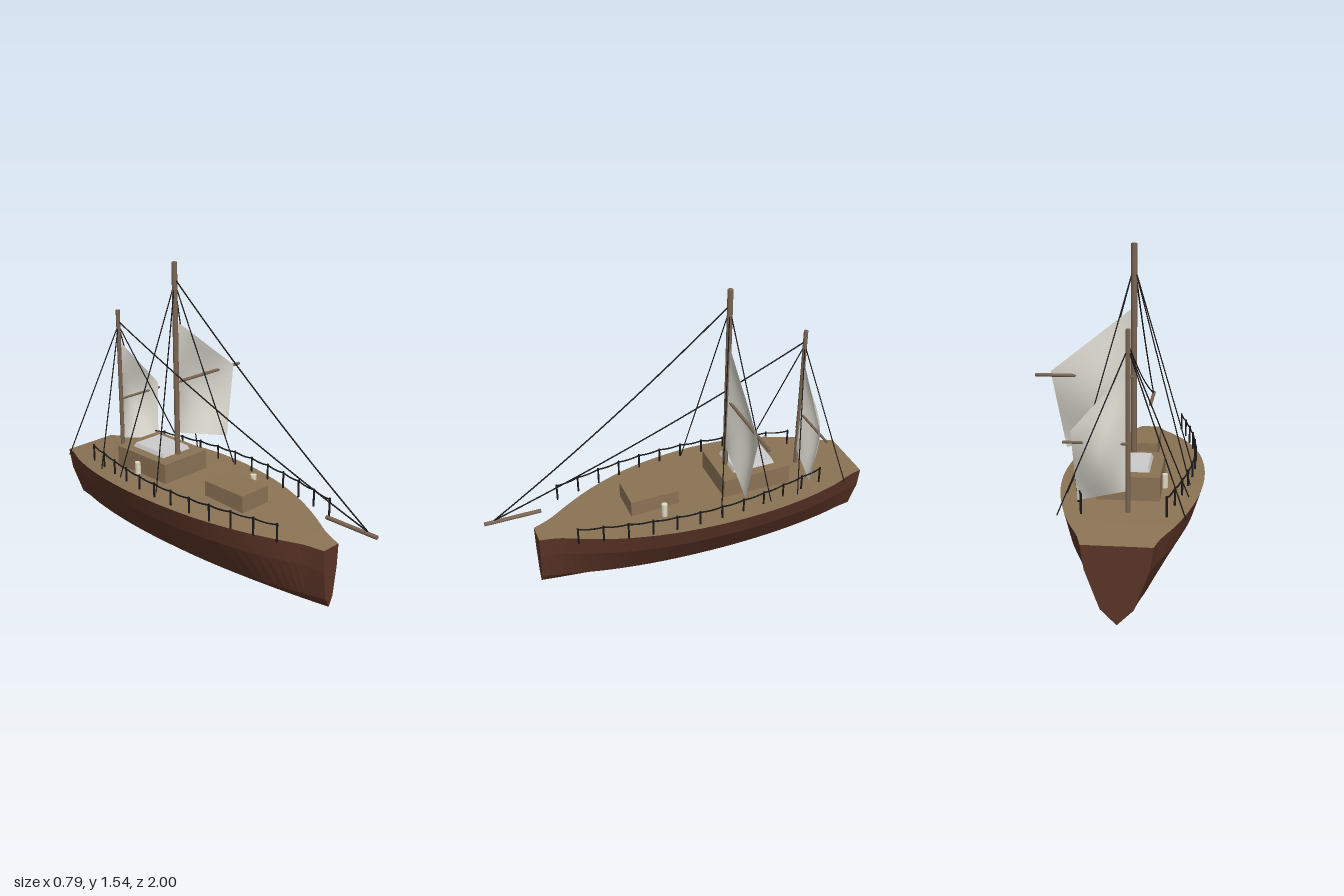
import * as THREE from 'three';

const CX = -0.065; // centreline of the boat
const V = (x, y, z) => new THREE.Vector3(x, y, z);
const mat = (color, opts = {}) => new THREE.MeshStandardMaterial({ color, ...opts });

const hullMat = mat(0x5b3426, { flatShading: true });
const deckMat = mat(0x8b7355, { flatShading: true });
const sparMat = mat(0x7a6552);
const ropeMat = mat(0x1a1a1a);
const sailMat = mat(0xd8d6cc, { side: THREE.DoubleSide });
const hatchMat = mat(0xcccccc, { flatShading: true });
const creamMat = mat(0xe0d8c0);

function add(parent, name, geometry, material) {
  const mesh = new THREE.Mesh(geometry, material);
  mesh.name = name;
  parent.add(mesh);
  return mesh;
}

// Round bar between two points
function bar(parent, name, a, b, r, material, sides = 12) {
  const mesh = add(parent, name, new THREE.CylinderGeometry(r, r, a.distanceTo(b), sides), material);
  mesh.position.copy(a).lerp(b, 0.5);
  mesh.quaternion.setFromUnitVectors(V(0, 1, 0), b.clone().sub(a).normalize());
}

// Rope sagging in its middle
function rope(parent, name, a, b, sag = 0, r = 0.003) {
  const mid = a.clone().lerp(b, 0.5);
  mid.y -= 2 * sag;
  const curve = new THREE.QuadraticBezierCurve3(a, mid, b);
  add(parent, name, new THREE.TubeGeometry(curve, sag ? 12 : 1, r, 6), ropeMat);
}

function box(parent, name, x0, x1, y0, y1, z0, z1, material) {
  const mesh = add(parent, name, new THREE.BoxGeometry(x1 - x0, y1 - y0, z1 - z0), material);
  mesh.position.set((x0 + x1) / 2, (y0 + y1) / 2, (z0 + z1) / 2);
  return mesh;
}

function meshGeometry(points, index) {
  const g = new THREE.BufferGeometry();
  g.setAttribute('position', new THREE.Float32BufferAttribute(points.flatMap(p => [p.x, p.y, p.z]), 3));
  g.setIndex(index);
  g.computeVertexNormals();
  return g;
}

// Hull lofted from seven-point sections, stern to bow
function buildHull(parent) {
  // z, half beam, deck height, keel height
  const stations = new THREE.CatmullRomCurve3([], false, 'centripetal');
  const beam = [[-1, 0.15], [-0.93, 0.172], [-0.8, 0.232], [-0.6, 0.293], [-0.4, 0.326], [-0.2, 0.334], [0, 0.32],
    [0.2, 0.284], [0.4, 0.218], [0.55, 0.145], [0.65, 0.088], [0.7, 0.068], [0.755, 0.052]];
  stations.points = beam.map(([z, w]) => V(w, 0, z));
  const N = 36, W = 7, pts = [], hull = [], deck = [];
  for (let i = 0; i <= N; i++) {
    const { x: w, z } = stations.getPoint(i / N);
    const t = z < -0.27 ? (z + 0.27) / 0.73 : (z + 0.27) / 1.025;
    const bow = z > -0.27;
    const top = 0.452 - (bow ? 0.052 : 0.042) * t * t;
    const keel = 0.005 + (bow ? 0.085 : 0.055) * Math.pow(Math.abs(t), 1.6);
    const chine = Math.max(0.13, keel + 0.05);
    const half = [[w, top], [w * 0.89, top - 0.11], [w * 0.47, chine]];
    half.forEach(([x, y]) => pts.push(V(CX + x, y, z)));
    pts.push(V(CX, keel, z));
    half.reverse().forEach(([x, y]) => pts.push(V(CX - x, y, z)));
  }
  for (let i = 0; i < N; i++) {
    const a = i * W, c = a + W;
    for (let j = 0; j < W - 1; j++) hull.push(a + j, c + j, a + j + 1, a + j + 1, c + j, c + j + 1);
    deck.push(a, a + W - 1, c, a + W - 1, c + W - 1, c);
  }
  // transom and stem
  const e = N * W;
  for (let j = 1; j < W - 1; j++) hull.push(0, j, j + 1, e, e + j + 1, e + j);
  add(parent, 'hull', meshGeometry(pts, hull), hullMat);
  add(parent, 'deck', meshGeometry(pts, deck), deckMat);
}

// Four-cornered sail bellied towards the stern
function sail(parent, name, [a, b, c, d], belly) {
  const n = 16, pts = [], index = [];
  for (let i = 0; i <= n; i++) for (let j = 0; j <= n; j++) {
    const u = j / n, v = i / n;
    const p = a.clone().lerp(b, u).lerp(d.clone().lerp(c, u), v);
    p.z -= belly * Math.sin(Math.PI * u) * Math.sin(Math.PI * v);
    pts.push(p);
    if (i < n && j < n) {
      const k = i * (n + 1) + j;
      index.push(k, k + n + 1, k + 1, k + 1, k + n + 1, k + n + 2);
    }
  }
  add(parent, name, meshGeometry(pts, index), sailMat);
}

// Mast with sail, yard, shrouds and forestay
function rig(parent, name, o) {
  const g = new THREE.Group();
  g.name = name;
  parent.add(g);
  bar(g, 'mast', V(o.x, 0.43, o.z), V(o.x, o.top, o.z), o.r, sparMat);
  bar(g, 'yard', V(o.x, o.yardY, o.z - 0.01), V(o.yardEnd, o.yardY, o.z - 0.01), o.r * 0.6, sparMat, 8);
  const offsets = [0, 0.015, 0.035, 0.005];
  sail(g, 'sail', o.corners.map(([x, y], i) => V(x, y, o.z + offsets[i])), o.belly);
  const head = V(o.x, o.stayY, o.z);
  for (const side of [-1, 1]) for (const dz of [-0.137, 0.137])
    rope(g, 'shroud', head.clone().setY(o.stayY - 0.02), V(CX + side * 0.272, 0.465, o.z + dz));
  rope(g, 'forestay', head, V(CX, 0.55, 0.95), o.sag, 0.0035);
}

// Curved rail with posts and slack line, one side
function railing(parent, side) {
  const g = new THREE.Group();
  g.name = side > 0 ? 'leftRailing' : 'rightRailing';
  parent.add(g);
  const count = 12, at = (i, y) => {
    const t = i / (count - 1);
    return V(CX + side * (0.185 + 0.1 * Math.sin(Math.PI * t)), y, 0.59 - 1.315 * t);
  };
  for (let i = 0; i < count; i++) {
    bar(g, 'railPost', at(i, 0.435), at(i, 0.528), 0.005, ropeMat, 8);
    if (i) rope(g, 'railLine', at(i - 1, 0.522), at(i, 0.522), 0.006, 0.004);
  }
}

export function createModel() {
  const boat = new THREE.Group();
  boat.name = 'sailingBoat';
  buildHull(boat);

  // Deckhouses and skylight
  box(boat, 'aftCabin', -0.21, 0.075, 0.42, 0.555, -0.57, -0.2, deckMat);
  box(boat, 'foreCabin', -0.155, 0.025, 0.41, 0.525, 0.03, 0.285, deckMat);
  const hatch = box(boat, 'skylight', -0.16, 0.028, 0.55, 0.575, -0.505, -0.27, hatchMat);
  const p = hatch.geometry.attributes.position;
  for (let i = 0; i < p.count; i++)
    if (p.getY(i) > 0) p.setXYZ(i, p.getX(i) * 0.88, p.getY(i), p.getZ(i) * 0.92);

  // Deck vents
  for (const [x, z] of [[-0.22, -0.4], [0.085, 0.13]])
    bar(boat, 'deckVent', V(x, 0.44, z), V(x, 0.515, z), 0.015, creamMat);

  bar(boat, 'bowsprit', V(CX, 0.54, 0.72), V(CX, 0.54, 1), 0.01, sparMat);

  rig(boat, 'mainRig', {
    x: CX, z: -0.265, top: 1.55, r: 0.014, yardY: 0.938, yardEnd: 0.395, stayY: 1.47, sag: 0.03, belly: 0.06,
    corners: [[-0.055, 1.255], [0.328, 0.95], [0.26, 0.575], [-0.055, 0.67]],
  });
  rig(boat, 'mizzenRig', {
    x: -0.08, z: -0.69, top: 1.24, r: 0.011, yardY: 0.748, yardEnd: 0.2, stayY: 1.18, sag: 0.03, belly: 0.065,
    corners: [[-0.075, 1.07], [0.17, 0.79], [0.145, 0.47], [-0.075, 0.53]],
  });

  railing(boat, 1);
  railing(boat, -1);
  return boat;
}
